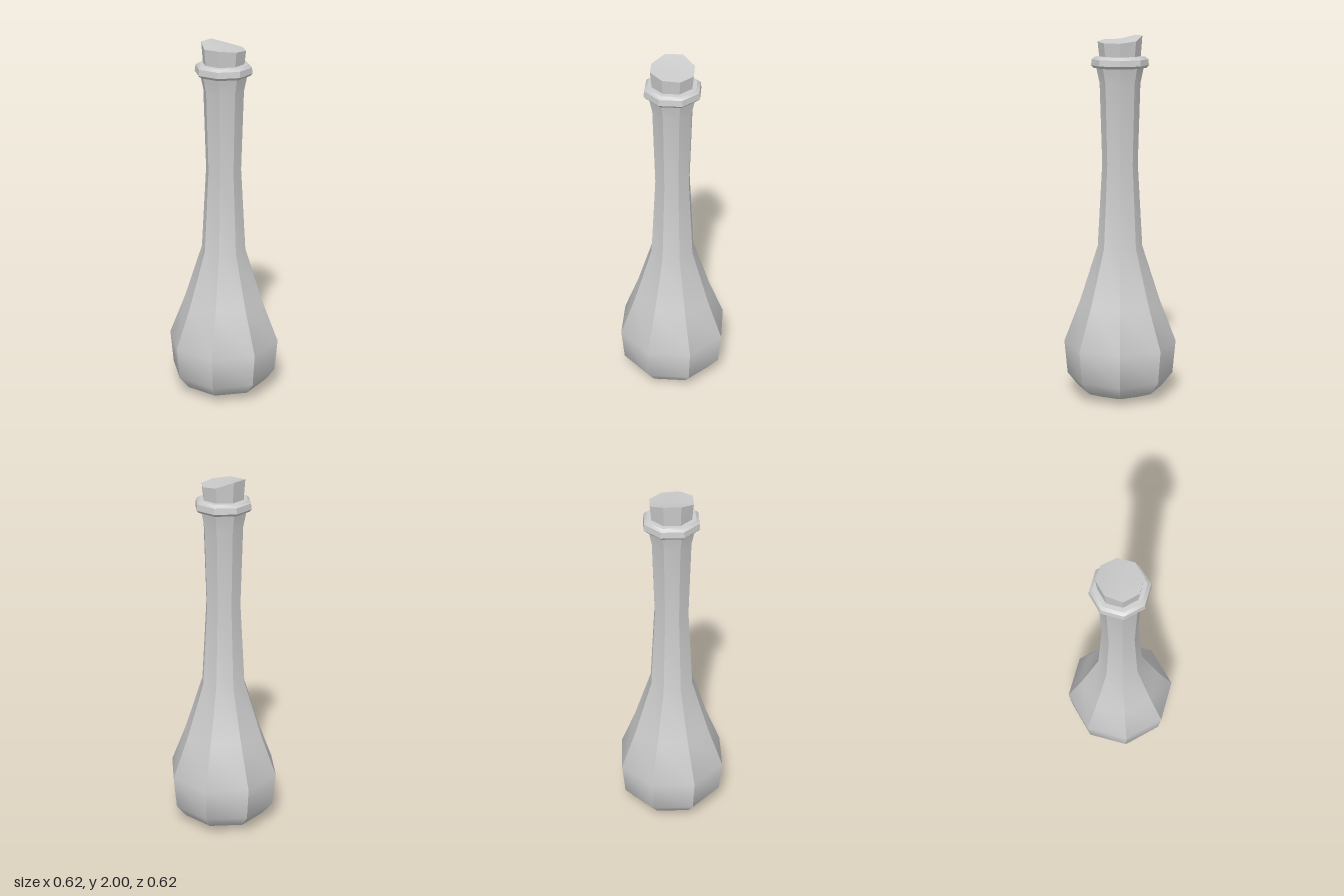
import * as THREE from 'three';
import { toCreasedNormals } from 'three/addons/utils/BufferGeometryUtils.js';

const SIDES = 8;
const material = new THREE.MeshStandardMaterial({ color: 0xcccccc });

function addMesh(group, name, geometry, crease) {
  const mesh = new THREE.Mesh(toCreasedNormals(geometry, crease), material);
  mesh.name = name;
  group.add(mesh);
}

// Eight-sided turned part from [radius, height] pairs, bottom to top
function turned(profile) {
  return new THREE.LatheGeometry(profile.map(([r, y]) => new THREE.Vector2(r, y)), SIDES);
}

export function createModel() {
  const group = new THREE.Group();
  group.name = 'bottle';

  // Bulbous body tapering into a long neck with a flared top
  addMesh(group, 'body', turned([
    [0, 0], [0.13, 0.005], [0.237, 0.047], [0.295, 0.12], [0.312, 0.305],
    [0.222, 0.54], [0.123, 0.85], [0.097, 1.31], [0.11, 1.745], [0.128, 1.83],
  ]), 0.62);

  // Collar around the mouth
  addMesh(group, 'collar', turned([
    [0.1, 1.825], [0.142, 1.828], [0.156, 1.842], [0.152, 1.874], [0.135, 1.888], [0.1, 1.891],
  ]), 0.62);

  // Cork with an unevenly cut top; heights run from the front towards +x
  const heights = [1.968, 1.962, 1.962, 1.972, 2, 2, 1.977, 1.977];
  const cork = new THREE.CylinderGeometry(0.12, 0.11, 0.1, SIDES);
  cork.translate(0, 1.92, 0);
  const p = cork.attributes.position;
  for (let i = 0; i < p.count; i++) {
    if (p.getY(i) < 1.95) continue;
    const x = p.getX(i), z = p.getZ(i);
    const step = Math.round(Math.atan2(x, z) / (Math.PI / 4));
    p.setY(i, Math.hypot(x, z) < 0.01 ? 1.976 : heights[(step + SIDES) % SIDES]);
  }
  addMesh(group, 'cork', cork, 0.62);

  return group;
}
